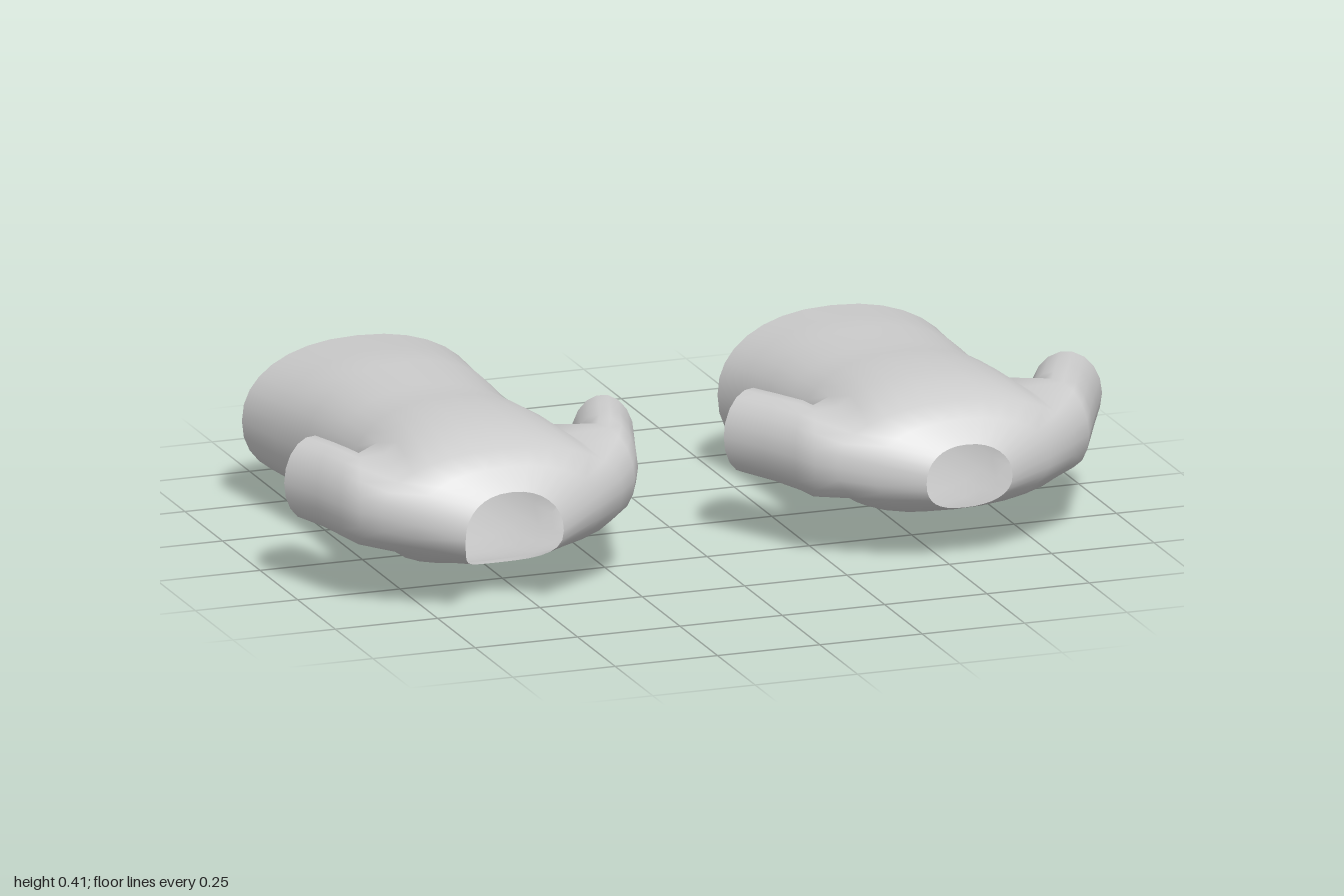
import * as THREE from 'three';

const N = 32;   // points round the torso
const ARM = 3;  // half height of an armhole, in torso segments
const K0 = 5, K1 = 8; // torso rings between which the armholes lie

const pow = (v, e) => Math.sign(v) * Math.pow(Math.abs(v), e);

// One shirt as a single open shell: lofted torso with armholes, sleeves grown from them
function makeShirt({ rings, cuffs }) {
  const pos = [], idx = [];
  const add = (x, y, z) => pos.push(x, y, z) / 3 - 1;
  const quad = (a, b, c, d, flip) =>
    flip ? idx.push(a, c, b, b, c, d) : idx.push(a, b, c, b, d, c);

  // Torso rings, hem to neck: [z, halfWidth, bottom, middle, top, sideShift, bottomShift]
  for (const [z, w, yb, ym, yt, side, low] of rings) {
    for (let j = 0; j < N; j++) {
      const a = (j / N) * Math.PI * 2;
      const c = Math.cos(a), s = Math.sin(a);
      const y = ym + pow(s, 0.9) * (s > 0 ? yt - ym : ym - yb);
      add(w * pow(c, 0.9), y, z + side * c * c - (s < 0 ? low * s * s : 0));
    }
  }
  const at = (k, j) => k * N + ((j + N) % N);
  for (let k = 0; k < rings.length - 1; k++) {
    for (let j = 0; j < N; j++) {
      const m = j % (N / 2);
      const inHole = k >= K0 && k < K1 && (m < ARM || m >= N / 2 - ARM);
      if (!inHole) quad(at(k, j), at(k, j + 1), at(k + 1, j), at(k + 1, j + 1));
    }
  }

  // Sleeves: start from the armhole edge and bend back to the cuff
  for (const sign of [1, -1]) {
    const { inner, outer, lift } = sign > 0 ? cuffs.left : cuffs.right;
    const g = (k, j) => at(k, sign > 0 ? j : N / 2 - j);
    let prev = [];
    for (let j = -ARM; j <= ARM; j++) prev.push(g(K1, j));
    for (let k = K1 - 1; k > K0; k--) prev.push(g(k, ARM));
    for (let j = ARM; j >= -ARM; j--) prev.push(g(K0, j));
    for (let k = K0 + 1; k < K1; k++) prev.push(g(k, -ARM));
    const n = prev.length;

    // [inner x, inner z, outer x, outer z, middle height, half height]
    const bend = [
      [0.262, 0.188, 0.335, 0.41, 0.242 + lift * 0.4, 0.105],
      [0.267, 0.178, 0.363, 0.355, 0.248 + lift * 0.7, 0.104],
      [(0.27 + inner[0]) / 2, (0.18 + inner[1]) / 2,
        (0.352 + outer[0]) / 2, (0.38 + outer[1]) / 2, 0.253 + lift, 0.101],
      [...inner, ...outer, 0.254 + lift, 0.1],
    ];
    for (const [xi, zi, xo, zo, yc, hy] of bend) {
      const ring = [];
      for (let i = 0; i < n; i++) {
        const t = ((i - ARM) / n) * Math.PI * 2;
        const f = (1 + Math.cos(t)) / 2;
        ring.push(add(sign * (xi + (xo - xi) * f), yc + hy * Math.sin(t), zi + (zo - zi) * f));
      }
      for (let i = 0; i < n; i++) {
        const q = (i + 1) % n;
        quad(prev[i], prev[q], ring[i], ring[q], sign > 0);
      }
      prev = ring;
    }
  }

  const geo = new THREE.BufferGeometry();
  geo.setAttribute('position', new THREE.Float32BufferAttribute(pos, 3));
  geo.setIndex(idx);
  geo.computeVertexNormals();
  return geo;
}

export function createModel() {
  const group = new THREE.Group();
  const mat = new THREE.MeshStandardMaterial({ color: 0xcccccc, side: THREE.DoubleSide });

  const longShirt = makeShirt({
    rings: [
      [-0.527, 0.288, 0.027, 0.2, 0.37, 0.02, 0],
      [-0.36, 0.265, 0.03, 0.2, 0.387, 0.01, 0],
      [-0.2, 0.245, 0.035, 0.21, 0.4, 0, 0],
      [-0.05, 0.236, 0.04, 0.22, 0.387, 0, 0],
      [0.09, 0.243, 0.04, 0.23, 0.4, 0, 0],
      [0.19, 0.252, 0.042, 0.24, 0.405, 0, 0.01],
      [0.27, 0.265, 0.05, 0.242, 0.4, 0, 0.03],
      [0.35, 0.28, 0.06, 0.242, 0.392, 0, 0.06],
      [0.43, 0.295, 0.072, 0.238, 0.368, 0.01, 0.1],
      [0.468, 0.225, 0.078, 0.22, 0.335, 0.012, 0.115],
      [0.505, 0.12, 0.082, 0.185, 0.285, 0.018, 0.12],
    ],
    cuffs: {
      left: { inner: [0.285, 0.12], outer: [0.425, 0.16], lift: 0.025 },
      right: { inner: [0.285, 0.12], outer: [0.43, 0.16], lift: 0 },
    },
  });

  const shortShirt = makeShirt({
    rings: [
      [-0.393, 0.291, 0, 0.19, 0.365, 0.035, 0],
      [-0.27, 0.272, 0.012, 0.2, 0.375, 0.02, 0],
      [-0.14, 0.258, 0.024, 0.21, 0.385, 0.008, 0],
      [-0.02, 0.252, 0.034, 0.22, 0.38, 0, 0],
      [0.09, 0.253, 0.038, 0.23, 0.393, 0, 0],
      [0.19, 0.258, 0.043, 0.24, 0.398, 0, 0],
      [0.27, 0.268, 0.06, 0.242, 0.396, 0, 0],
      [0.35, 0.28, 0.082, 0.242, 0.39, 0, 0.005],
      [0.43, 0.292, 0.105, 0.238, 0.368, 0.005, 0.01],
      [0.47, 0.215, 0.118, 0.225, 0.335, 0.012, 0.012],
      [0.508, 0.105, 0.13, 0.205, 0.285, 0.018, 0.015],
    ],
    cuffs: {
      left: { inner: [0.305, 0.1], outer: [0.46, 0.155], lift: 0.008 },
      right: { inner: [0.32, 0.096], outer: [0.468, 0.165], lift: 0 },
    },
  });

  for (const [name, geo, x] of [['longShirt', longShirt, -0.57], ['shortShirt', shortShirt, 0.54]]) {
    const mesh = new THREE.Mesh(geo, mat);
    mesh.name = name;
    mesh.position.x = x;
    group.add(mesh);
  }
  return group;
}
